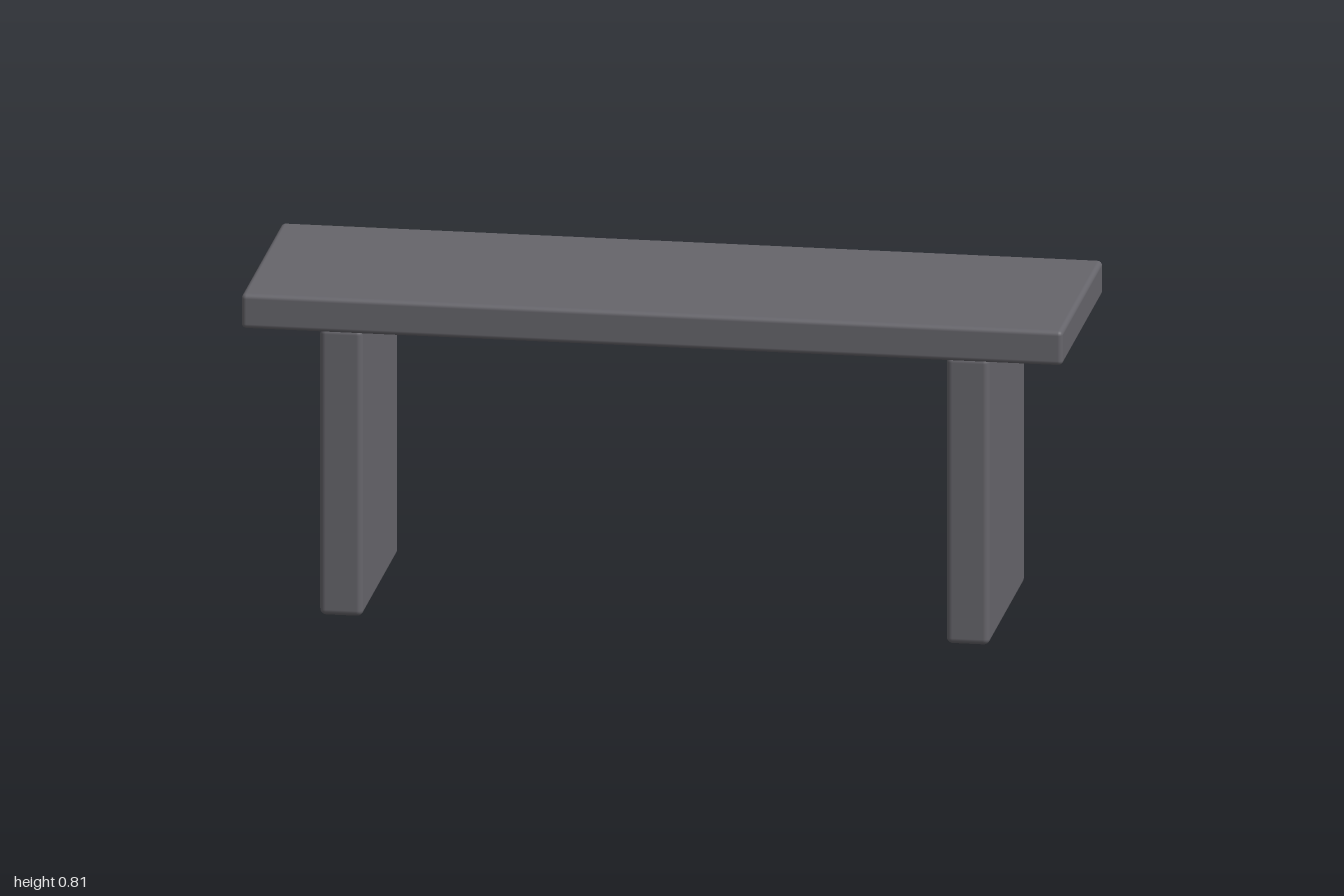
import * as THREE from 'three';
import { RoundedBoxGeometry } from 'three/addons/geometries/RoundedBoxGeometry.js';

export function createModel() {
  const bench = new THREE.Group();
  bench.name = 'bench';

  const stone = new THREE.MeshStandardMaterial({ color: 0x66656b });
  stone.name = 'dark grey stone';

  // Slab with softly rounded edges, placed by its bottom height
  const addSlab = (name, width, height, depth, radius, x, bottom) => {
    const slab = new THREE.Mesh(new RoundedBoxGeometry(width, height, depth, 3, radius), stone);
    slab.name = name;
    slab.position.set(x, bottom + height / 2, 0);
    bench.add(slab);
  };

  const legHeight = 0.721;

  // Seat plank
  addSlab('seat', 2, 0.087, 0.615, 0.012, 0, legHeight);

  // Slab legs, mirrored left and right
  for (const side of [1, -1]) {
    addSlab(side > 0 ? 'leftLeg' : 'rightLeg', 0.105, legHeight, 0.543, 0.015, side * 0.763, 0);
  }

  return bench;
}
